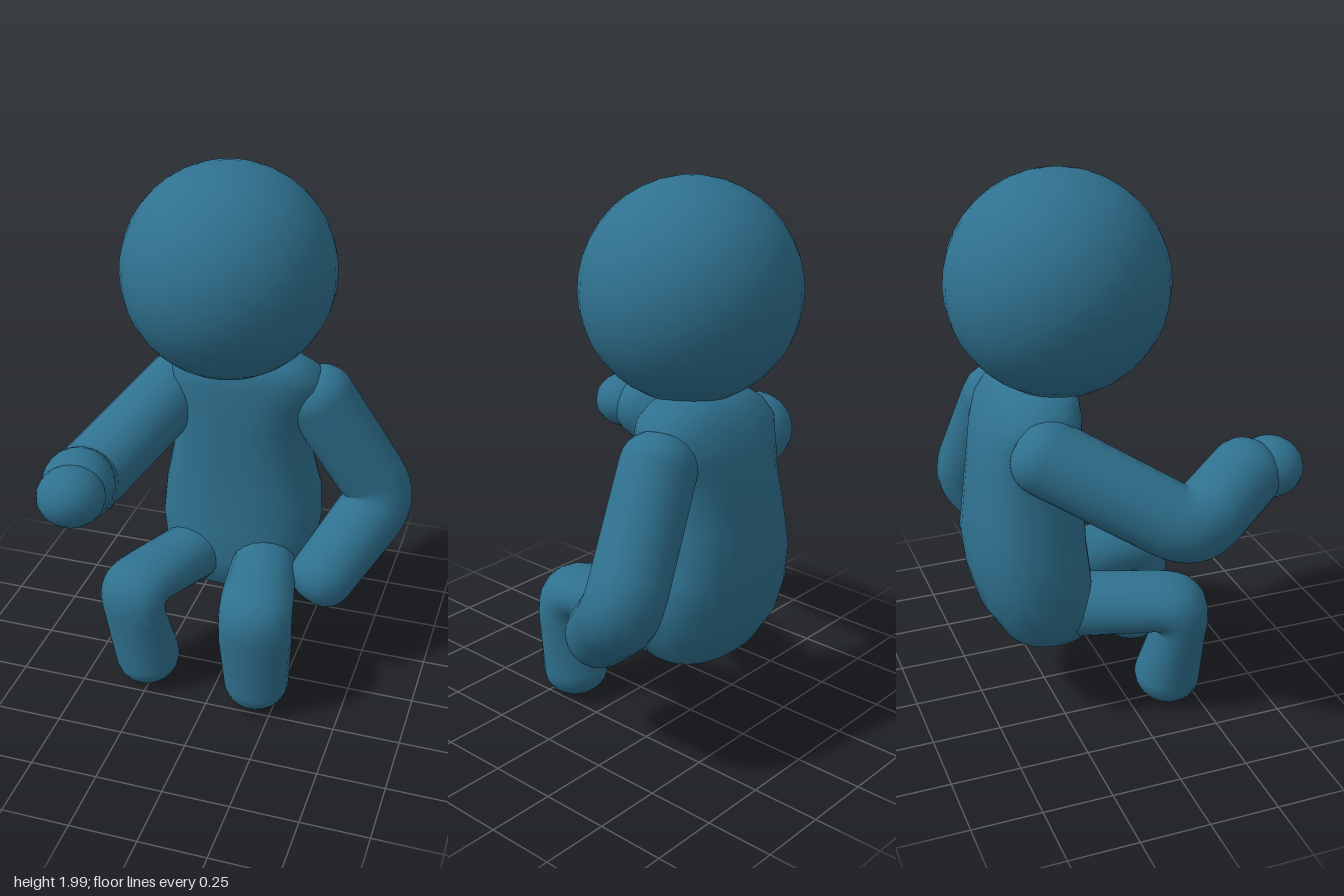
import * as THREE from 'three';

const V = (p) => new THREE.Vector3(...p);

// Closed smooth skin through a list of rings (each an array of Vector3)
function loft(rings) {
  const n = rings[0].length, pos = [], idx = [];
  rings.forEach((r) => r.forEach((p) => pos.push(p.x, p.y, p.z)));
  for (let i = 0; i < rings.length - 1; i++) {
    for (let j = 0; j < n; j++) {
      const a = i * n + j, b = i * n + (j + 1) % n;
      idx.push(a, b, a + n, b, b + n, a + n);
    }
  }
  const g = new THREE.BufferGeometry();
  g.setAttribute('position', new THREE.Float32BufferAttribute(pos, 3));
  g.setIndex(idx);
  g.computeVertexNormals();
  return g;
}

// Bent limb a-b-c with domed ends. The joint is an ellipse rWide across the
// hinge and rDeep in the bending plane; its rings all pivot on the inner crease.
function limb(a, b, c, r0, rWide, rDeep, r2) {
  const A = V(a), B = V(b), C = V(c);
  const d1 = B.clone().sub(A).normalize(), d2 = C.clone().sub(B).normalize();
  const N = d1.clone().cross(d2).normalize();
  const rings = [];
  const ring = (p, side, wide, deep) => {
    const out = [];
    for (let j = 0; j < 20; j++) {
      const q = j / 20 * Math.PI * 2;
      out.push(p.clone().addScaledVector(N, Math.cos(q) * wide).addScaledVector(side, Math.sin(q) * deep));
    }
    rings.push(out);
  };
  const dome = (p, d, r, sign) => {
    const side = d.clone().cross(N);
    for (let i = 0; i <= 6; i++) {
      const q = (sign < 0 ? 6 - i : i) / 6 * Math.PI / 2;
      const w = Math.max(Math.cos(q) ** 0.8 * r, 0.0005);
      ring(p.clone().addScaledVector(d, sign * Math.sin(q) * r * 0.85), side, w, w);
    }
  };
  dome(A, d1, r0, -1);
  const fillet = rDeep * Math.tan(d1.angleTo(d2) / 2);
  const start = B.clone().addScaledVector(d1, -fillet);
  const crease = start.clone().addScaledVector(d1.clone().cross(N), -rDeep);
  const bend = new THREE.QuadraticBezierCurve3(start, B, B.clone().addScaledVector(d2, fillet));
  for (let i = 0; i <= 8; i++) {
    const p = bend.getPoint(i / 8), side = p.clone().sub(crease);
    const deep = side.length();
    ring(p, side.normalize(), rWide, deep);
  }
  dome(C, d2, r2, 1);
  return loft(rings);
}

// Torso from rounded cross-sections: y, centre x, centre z, half width, half depth
function torso() {
  const sections = [
    [0.27, -0.03, -0.26, 0.001, 0.001], [0.275, -0.03, -0.26, 0.12, 0.08],
    [0.32, -0.03, -0.27, 0.23, 0.16], [0.43, -0.03, -0.295, 0.29, 0.2],
    [0.55, -0.025, -0.315, 0.315, 0.21], [0.68, -0.025, -0.33, 0.305, 0.21],
    [0.85, -0.03, -0.325, 0.265, 0.2], [1.0, -0.02, -0.315, 0.25, 0.19],
    [1.09, -0.01, -0.307, 0.275, 0.18], [1.16, -0.005, -0.295, 0.3, 0.165],
    [1.215, 0, -0.28, 0.275, 0.145], [1.255, 0, -0.27, 0.215, 0.115],
    [1.275, 0, -0.27, 0.14, 0.07], [1.28, 0, -0.27, 0.001, 0.001],
  ];
  return loft(sections.map(([y, cx, cz, rx, rz]) => {
    const ring = [];
    for (let j = 0; j < 32; j++) {
      const q = j / 32 * Math.PI * 2, c = Math.cos(q), s = Math.sin(q);
      ring.push(new THREE.Vector3(
        cx + rx * Math.sign(c) * Math.abs(c) ** 0.82, y, cz - rz * Math.sign(s) * Math.abs(s) ** 0.82));
    }
    return ring;
  }));
}

export function createModel() {
  const model = new THREE.Group();
  model.name = 'seatedFigure';
  const blue = new THREE.MeshStandardMaterial({ color: 0x2f718f });
  blue.name = 'teal blue';
  const add = (name, geometry) => {
    const m = new THREE.Mesh(geometry, blue);
    m.name = name;
    model.add(m);
    return m;
  };

  // Head and body
  add('head', new THREE.SphereGeometry(0.388, 32, 20)).position.set(-0.045, 1.612, -0.187);
  add('torso', torso());

  // Left arm hangs with the hand at the hip, right arm reaches forward
  add('leftArm', limb([0.27, 1.09, -0.32], [0.525, 0.67, -0.39], [0.35, 0.43, -0.12], 0.135, 0.137, 0.132, 0.125));
  add('rightArm', limb([-0.27, 1.08, -0.31], [-0.51, 0.835, 0.13], [-0.425, 0.98, 0.36], 0.135, 0.137, 0.132, 0.13));
  const hand = add('rightHand', new THREE.SphereGeometry(0.115, 20, 14));
  hand.position.set(-0.413, 0.985, 0.455);
  hand.scale.set(1.05, 0.93, 1.04);

  // Legs folded at the knee
  add('leftLeg', limb([0.1, 0.42, -0.22], [0.18, 0.45, 0.225], [0.178, 0.12, 0.175], 0.12, 0.137, 0.097, 0.123));
  add('rightLeg', limb([-0.15, 0.42, -0.22], [-0.325, 0.45, 0.2], [-0.268, 0.12, 0.15], 0.12, 0.137, 0.097, 0.123));

  return model;
}
